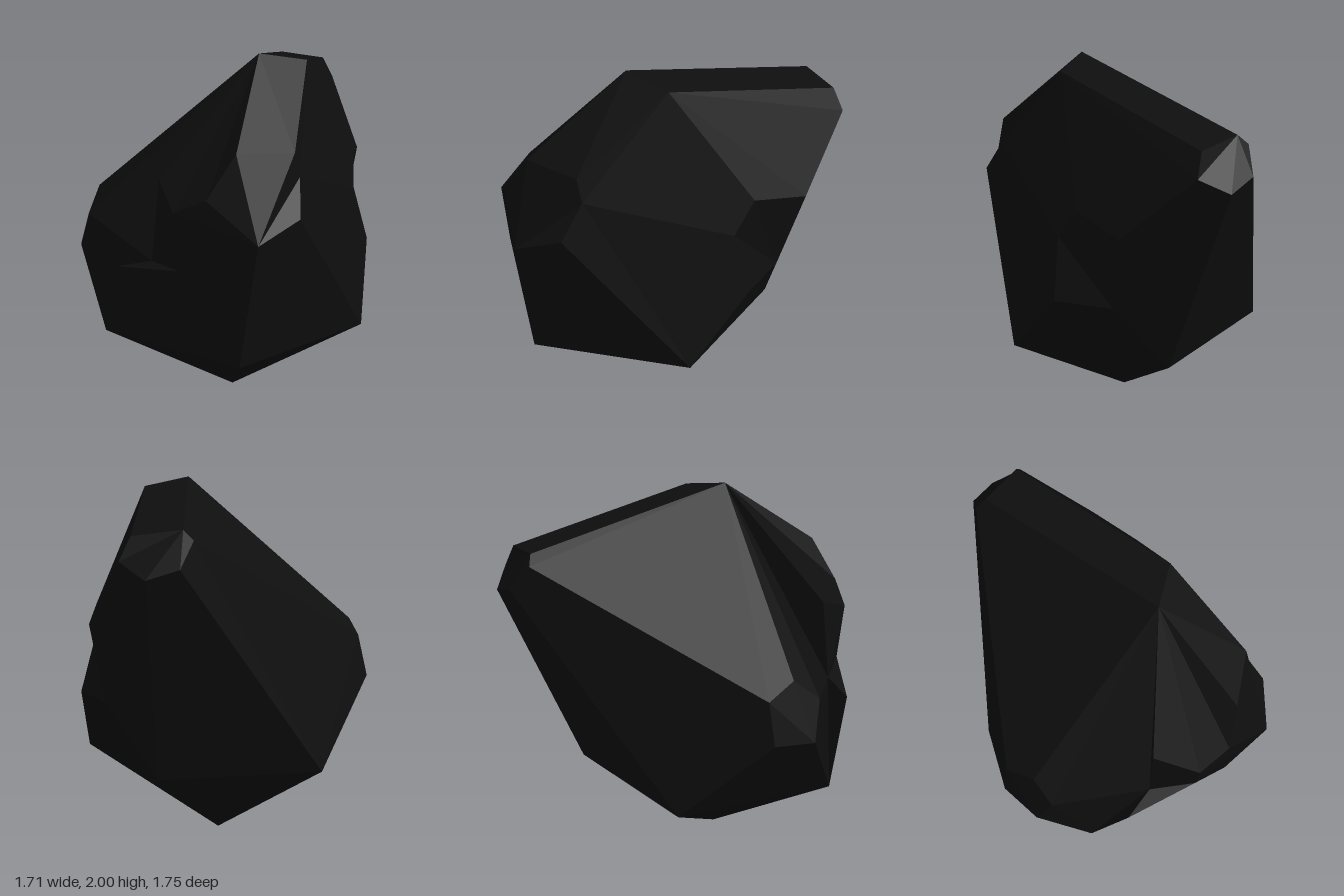
import * as THREE from 'three';

export function createModel() {
  const coal = new THREE.MeshStandardMaterial({ color: 0x0e0e0e });
  coal.name = 'coal black';
  coal.flatShading = true;

  // Crown ridge and the five chipped corners
  const corners = {
    A: [[0.015, 2, 0.22], [0.28, 1.95, 0.24]], // crown
    P: [[0.57, 1.78, -0.77], [0.79, 1.75, -0.65], [0.855, 1.63, -0.65], [0.79, 1.55, -0.8], [0.64, 1.6, -0.87], [0.54, 1.73, -0.82]], // back left
    Q: [[-0.25, 1.19, 0.875], [0, 1.28, 0.815], [0.05, 1.46, 0.69], [0.02, 1.59, 0.69], [-0.29, 1.61, 0.68], [-0.45, 1.39, 0.68]], // front
    R: [[0.73, 0.85, -0.19], [0.845, 1.28, -0.26], [0.68, 1.34, 0.02], [0.63, 1.17, 0.14], [0.73, 0.85, 0.13]], // left
    T: [[-0.855, 0.88, -0.29], [-0.825, 1.09, -0.2], [-0.73, 1.21, -0.31], [-0.68, 1.14, -0.47], [-0.73, 0.91, -0.49]], // back right
    U: [[-0.58, 1.3, 0.55], [-0.57, 1.4, 0.3], [-0.62, 0.96, 0.3], [-0.785, 0.92, 0.21], [-0.55, 0.98, 0.54]], // front right
    D: [[-0.055, 0, 0]], // foot
    L: [] // five-sided lower ring
  };
  for (let i = 0; i < 5; i++) {
    const a = Math.PI + i * Math.PI * 0.4;
    corners.L.push([-0.055 + 0.75 * Math.cos(a), 0.465, -0.75 * Math.sin(a)]);
  }

  const facets = [
    // foot
    'D0 L0 L1', 'D0 L1 L2', 'D0 L2 L3', 'D0 L3 L4', 'D0 L4 L0',
    // chipped corners
    'P0 P1 P2 P3 P4 P5', 'Q0 Q1 Q2 Q3 Q4 Q5', 'R0 R1 R2 R3 R4', 'T0 T1 T2 T3 T4', 'U2 U3 U4 U0 U1',
    // sides rising from ring edges
    'L1 L2 Q1 Q0', 'L2 L3 R0 R4', 'L3 L4 P4 P3', 'L4 L0 T0 T4', 'L0 L1 U4 U3',
    // sides rising from ring corners
    'L2 R4 R3 Q2 Q1', 'L3 P3 P2 R1 R0', 'L4 T4 T3 P5 P4', 'L0 U3 U2 T1 T0', 'L1 Q0 U4', 'Q0 Q5 U0 U4',
    // upper slopes
    'A1 Q3 Q2 R3 R2', 'A1 R2 R1 P2 P1', 'A0 A1 P1 P0', 'A0 P0 P5 T3 T2', 'A0 T2 T1 U2 U1', 'A0 U1 U0 Q5 Q4', 'A0 Q4 Q3 A1'
  ];

  // Fan each facet into triangles that face away from the centre
  const centre = new THREE.Vector3(0, 0.95, 0);
  const positions = [];
  for (const facet of facets) {
    const pts = facet.split(' ').map(n => new THREE.Vector3(...corners[n[0]][+n[1]]));
    const normal = new THREE.Vector3();
    const middle = new THREE.Vector3();
    pts.forEach((p, i) => {
      normal.add(p.clone().cross(pts[(i + 1) % pts.length]));
      middle.addScaledVector(p, 1 / pts.length);
    });
    if (normal.dot(middle.sub(centre)) < 0) pts.reverse().unshift(pts.pop());
    for (let i = 1; i < pts.length - 1; i++) {
      for (const p of [pts[0], pts[i], pts[i + 1]]) positions.push(p.x, p.y, p.z);
    }
  }
  const geometry = new THREE.BufferGeometry();
  geometry.setAttribute('position', new THREE.Float32BufferAttribute(positions, 3));
  geometry.computeVertexNormals();

  const rock = new THREE.Mesh(geometry, coal);
  rock.name = 'rock';
  const group = new THREE.Group();
  group.name = 'coalRock';
  group.add(rock);
  return group;
}
